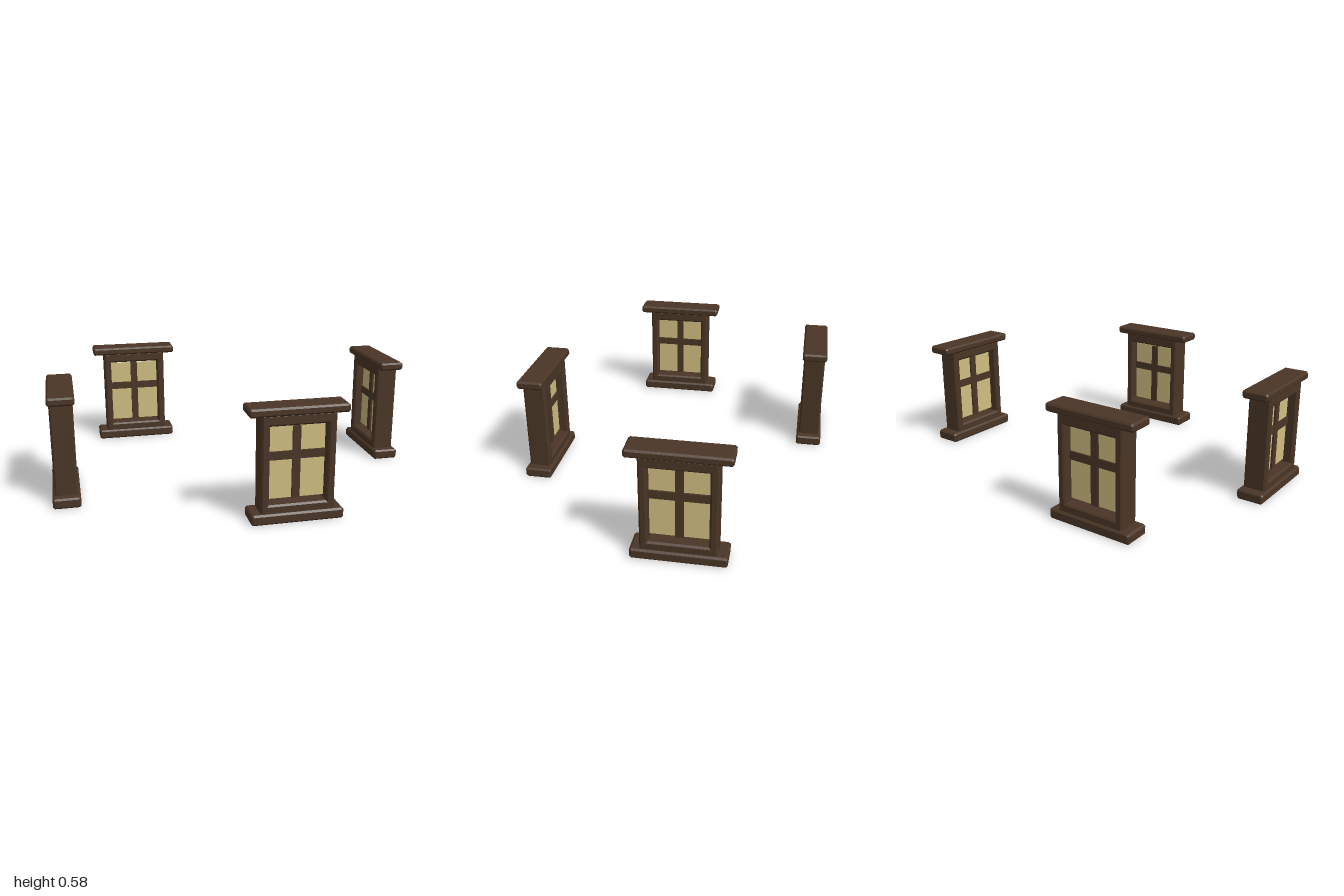
import * as THREE from 'three';

const BEVEL = 0.009;

// Extrudes a shape to the given depth, centred on z, with chamfered rims
function bevelled(shape, depth) {
  const geo = new THREE.ExtrudeGeometry(shape, {
    depth: depth - 2 * BEVEL,
    bevelEnabled: true,
    bevelSegments: 1,
    bevelSize: BEVEL,
    bevelThickness: BEVEL,
    bevelOffset: -BEVEL,
  });
  return geo.translate(0, 0, -depth / 2 + BEVEL);
}

// Rectangle outline with cut corners
function cutRectangle(w, y0, y1, c) {
  const h = w / 2;
  return new THREE.Shape([
    [-h + c, y0], [h - c, y0], [h, y0 + c], [h, y1 - c],
    [h - c, y1], [-h + c, y1], [-h, y1 - c], [-h, y0 + c],
  ].map(([x, y]) => new THREE.Vector2(x, y)));
}

function bar(w, y0, y1, depth) {
  return new THREE.BoxGeometry(w, y1 - y0, depth).translate(0, (y0 + y1) / 2, 0);
}

export function createModel() {
  const wood = new THREE.MeshStandardMaterial({ color: 0x4a3626 });
  wood.name = 'dark wood';
  const pane = new THREE.MeshStandardMaterial({ color: 0xd0be82 });
  pane.name = 'warm glass';

  // Surround with a rectangular opening
  const surround = new THREE.Shape([
    new THREE.Vector2(-0.185, 0.04), new THREE.Vector2(0.185, 0.04),
    new THREE.Vector2(0.185, 0.55), new THREE.Vector2(-0.185, 0.55),
  ]);
  surround.holes.push(new THREE.Path([
    new THREE.Vector2(-0.144, 0.096), new THREE.Vector2(-0.144, 0.492),
    new THREE.Vector2(0.144, 0.492), new THREE.Vector2(0.144, 0.096),
  ]));

  const parts = [
    ['sill', bevelled(cutRectangle(0.466, 0, 0.054, 0.009), 0.142), wood],
    ['frame', bevelled(surround, 0.118), wood],
    ['lintel', bevelled(cutRectangle(0.496, 0.542, 0.584, 0.009), 0.136), wood],
    ['glass', bar(0.29, 0.11, 0.477, 0.015), pane],
    ['verticalBar', bar(0.04, 0.11, 0.477, 0.036), wood],
    ['crossBar', bar(0.29, 0.311, 0.353, 0.034), wood],
  ];

  // Four free-standing windows, one on each side
  const places = [
    ['frontWindow', 0.158, 0.729, 0],
    ['leftWindow', 0.929, -0.16, Math.PI / 2],
    ['backWindow', -0.465, -0.729, Math.PI],
    ['rightWindow', -0.929, 0.158, -Math.PI / 2],
  ];

  const model = new THREE.Group();
  model.name = 'windows';
  for (const [name, x, z, turn] of places) {
    const win = new THREE.Group();
    win.name = name;
    for (const [partName, geo, mat] of parts) {
      const mesh = new THREE.Mesh(geo, mat);
      mesh.name = partName;
      win.add(mesh);
    }
    win.position.set(x, 0, z);
    win.rotation.y = turn;
    model.add(win);
  }
  return model;
}
